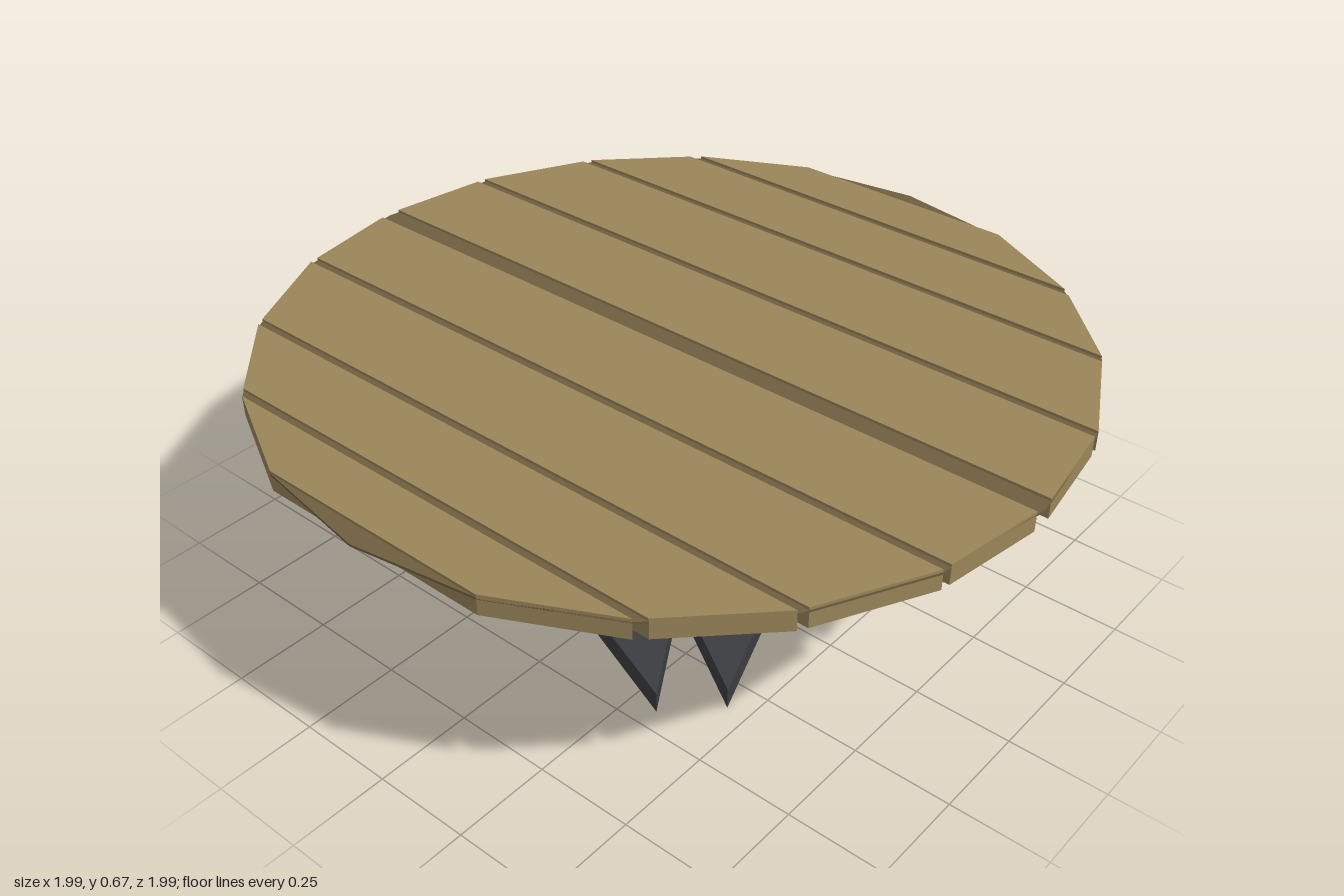
import * as THREE from 'three';

const wood = new THREE.MeshStandardMaterial({ color: 0x9b865a, flatShading: true });
const darkWood = new THREE.MeshStandardMaterial({ color: 0x6f5f40, flatShading: true });
const metal = new THREE.MeshStandardMaterial({ color: 0x3c3d40, flatShading: true });

const RADIUS = 0.997, SIDES = 20;

// Half width of the 20-sided table top at depth z
function halfWidth(z) {
  const step = (2 * Math.PI) / SIDES;
  const k = Math.min(Math.floor(Math.asin(Math.min(Math.abs(z) / RADIUS, 1)) / step), SIDES / 4 - 1);
  const z0 = Math.sin(k * step) * RADIUS, z1 = Math.sin((k + 1) * step) * RADIUS;
  const x0 = Math.cos(k * step) * RADIUS, x1 = Math.cos((k + 1) * step) * RADIUS;
  return THREE.MathUtils.lerp(x0, x1, (Math.abs(z) - z0) / (z1 - z0));
}

// Horizontal slab from an outline of [x, z] points
function slab(name, points, bottom, height, material) {
  const shape = new THREE.Shape(points.map(([x, z]) => new THREE.Vector2(x, -z)));
  const geometry = new THREE.ExtrudeGeometry(shape, { depth: height, bevelEnabled: false });
  geometry.rotateX(-Math.PI / 2).translate(0, bottom, 0);
  const mesh = new THREE.Mesh(geometry, material);
  mesh.name = name;
  return mesh;
}

export function createModel() {
  const table = new THREE.Group();
  table.name = 'roundTable';

  // Planks, cut to the round outline and mirrored front to back
  const planks = new THREE.Group();
  planks.name = 'tableTopPlanks';
  const rows = [[0.028, 0.285], [0.308, 0.567], [0.588, 0.787], [0.808, 0.948]];
  for (const side of [1, -1]) {
    for (const [inner, outer] of rows) {
      const a = halfWidth(inner), b = halfWidth(outer);
      planks.add(slab('plank', [
        [-a, side * inner], [a, side * inner], [b, side * outer], [-b, side * outer],
      ], 0.62, 0.052, wood));
    }
  }
  table.add(planks);

  // Thin sheet that joins the planks
  const sheet = new THREE.Mesh(new THREE.CylinderGeometry(RADIUS, RADIUS, 0.006, SIDES), darkWood);
  sheet.name = 'backingSheet';
  sheet.position.y = 0.662;
  table.add(sheet);

  // Eight-sided post
  const post = new THREE.Mesh(new THREE.CylinderGeometry(0.179, 0.179, 0.61, 8), metal);
  post.name = 'post';
  post.position.set(-0.004, 0.35, 0);
  table.add(post);

  // Foot with four split arms, one quarter repeated around
  const quarter = [[0.32, 0], [0.447, 0.33], [0.13, 0.13], [0.33, 0.447]];
  const outline = [];
  for (let i = 0; i < 4; i++) {
    const c = Math.round(Math.cos(i * Math.PI / 2)), s = Math.round(Math.sin(i * Math.PI / 2));
    for (const [x, z] of quarter) outline.push([x * c - z * s, x * s + z * c]);
  }
  const foot = slab('foot', outline, 0, 0.056, metal);
  foot.position.x = -0.004;
  table.add(foot);

  return table;
}
